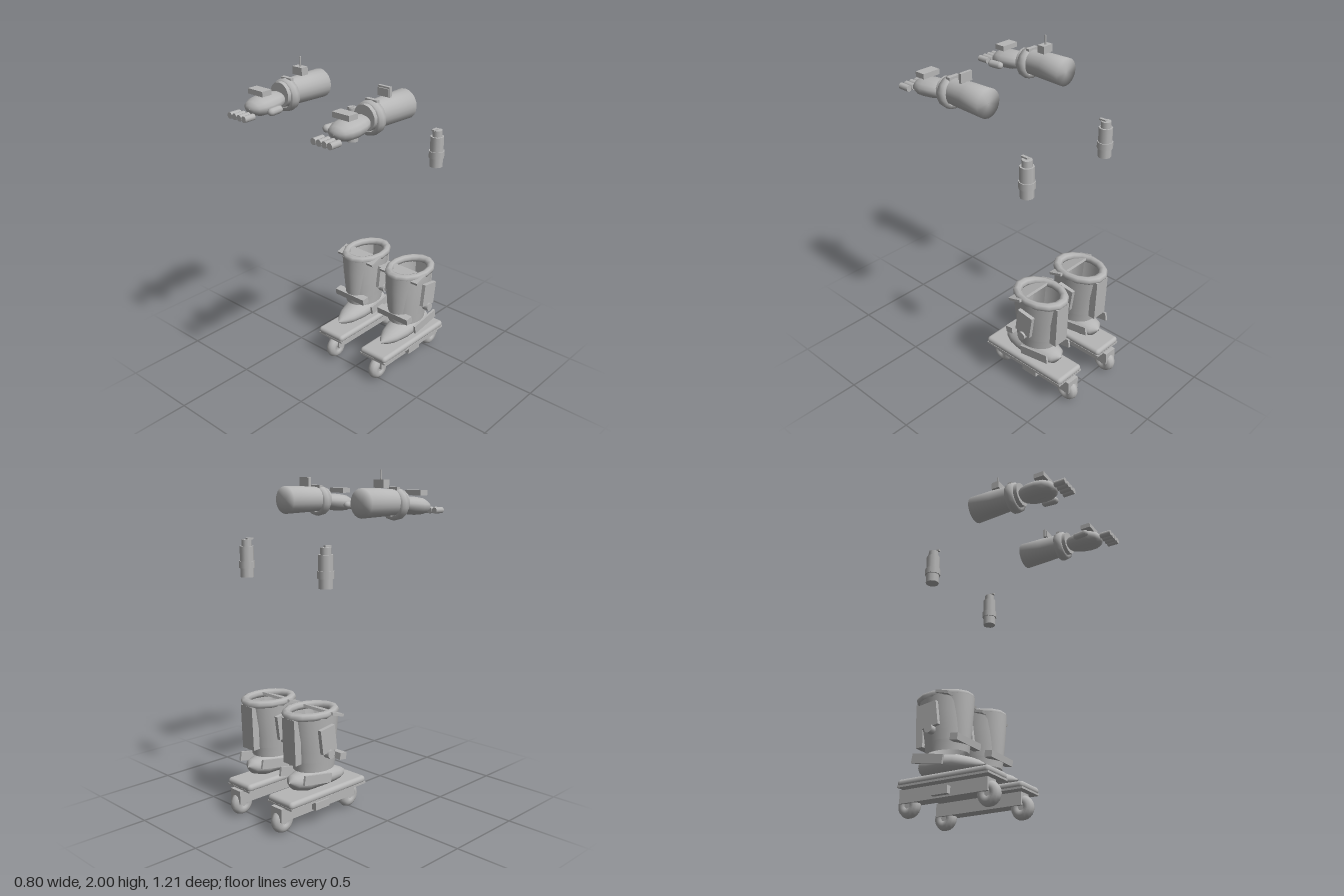
import * as THREE from 'three';
import { RoundedBoxGeometry } from 'three/addons/geometries/RoundedBoxGeometry.js';

const grey = new THREE.MeshStandardMaterial({ color: 0xb6b6b6, side: THREE.DoubleSide });
grey.name = 'plain grey';

function add(group, name, geometry, x = 0, y = 0, z = 0, rx = 0, ry = 0) {
  const mesh = new THREE.Mesh(geometry, grey);
  mesh.name = name;
  mesh.position.set(x, y, z);
  mesh.rotation.set(rx, ry, 0);
  group.add(mesh);
  return mesh;
}
const box = (w, h, d) => new THREE.BoxGeometry(w, h, d);

// Skin over elliptical sections [y, centre z, radius x, radius z], listed upwards
function loft(sections, segs = 20, start = 0, length = Math.PI * 2) {
  const closed = length > 6.28;
  const cols = closed ? segs : segs + 1;
  const pos = [], index = [];
  for (const [y, cz, rx, rz] of sections) {
    for (let i = 0; i < cols; i++) {
      const t = start + (length * i) / segs;
      pos.push(rx * Math.sin(t), y, cz + rz * Math.cos(t));
    }
  }
  for (let j = 0; j < sections.length - 1; j++) {
    for (let i = 0; i < segs; i++) {
      const n = (i + 1) % cols;
      const a = (j + 1) * cols + i, b = j * cols + i, c = j * cols + n, d = (j + 1) * cols + n;
      index.push(a, b, d, b, c, d);
    }
  }
  const g = new THREE.BufferGeometry();
  g.setAttribute('position', new THREE.Float32BufferAttribute(pos, 3));
  g.setIndex(index);
  g.computeVertexNormals();
  return g;
}
// The same, with sections [z, centre y, radius x, radius y] along z
const loftZ = (sections, segs) =>
  loft(sections.map(([z, cy, rx, ry]) => [z, -cy, rx, ry]), segs).rotateX(Math.PI / 2);

function makeSkate(s) {
  const g = new THREE.Group();
  g.name = s > 0 ? 'leftSkate' : 'rightSkate';
  g.position.x = 0.18 * s;

  // Deck, chassis and wheels
  add(g, 'deck', new RoundedBoxGeometry(0.204, 0.044, 0.606, 3, 0.021), 0, 0.183, -0.252);
  add(g, 'deckBase', box(0.2, 0.012, 0.6), 0, 0.163, -0.252);
  add(g, 'chassis', box(0.086, 0.08, 0.585), 0, 0.12, -0.284);
  add(g, 'sideBlock', box(0.075, 0.045, 0.11), 0.036 * s, 0.113, -0.285);
  for (const z of [-0.005, -0.533]) {
    const wheel = new THREE.TorusGeometry(0.038, 0.034, 10, 20).rotateY(Math.PI / 2);
    add(g, 'wheel', wheel, 0, 0.072, z);
    add(g, 'hub', new THREE.CylinderGeometry(0.02, 0.02, 0.05, 12).rotateZ(Math.PI / 2), 0, 0.072, z);
  }

  // Pointed shoe with a fin on each side
  add(g, 'shoe', loftZ([
    [-0.475, 0.275, 0.005, 0.005], [-0.445, 0.27, 0.055, 0.042], [-0.375, 0.267, 0.083, 0.061],
    [-0.28, 0.268, 0.088, 0.062], [-0.2, 0.262, 0.086, 0.056], [-0.12, 0.25, 0.064, 0.042],
    [-0.07, 0.243, 0.036, 0.026], [-0.035, 0.24, 0.004, 0.004],
  ], 18));
  for (const k of [-1, 1]) add(g, 'shoeFin', box(0.014, 0.055, 0.21), 0.1 * k, 0.293, -0.35, 0.17);

  // Open shaft, ankle band and raised front shell
  add(g, 'shaft', loft([
    [0.33, -0.285, 0.104, 0.128], [0.45, -0.29, 0.117, 0.142],
    [0.56, -0.298, 0.128, 0.156], [0.67, -0.306, 0.134, 0.166],
  ], 24));
  add(g, 'ankleBand', loft([[0.33, -0.285, 0.107, 0.13], [0.39, -0.287, 0.113, 0.138]], 24));
  add(g, 'frontShell', loft([
    [0.36, -0.25, 0.078, 0.105], [0.45, -0.25, 0.09, 0.113],
    [0.56, -0.25, 0.103, 0.119], [0.66, -0.25, 0.114, 0.122],
  ], 16, -Math.PI / 2, Math.PI));

  // Padded rim, straps and back panel
  const rim = new THREE.TorusGeometry(0.136, 0.026, 8, 14).rotateX(Math.PI / 2).scale(0.86, 0.92, 1.13);
  add(g, 'rim', rim, 0, 0.664, -0.31);
  add(g, 'upperStrap', box(0.297, 0.016, 0.09), 0, 0.657, -0.235, 0.28);
  add(g, 'ankleStrap', box(0.24, 0.04, 0.05), 0, 0.388, -0.165, 0.12);
  add(g, 'backPanel', box(0.1, 0.265, 0.045), 0, 0.52, -0.455, -0.04);

  // Buckle plate and knob on each side
  for (const k of [-1, 1]) {
    add(g, 'bucklePlate', box(0.024, 0.145, 0.11), 0.143 * k, 0.53, -0.315, -0.14);
    add(g, 'buckleKnob', new THREE.CylinderGeometry(0.026, 0.026, 0.04, 12).rotateZ(Math.PI / 2),
      0.148 * k, 0.445, -0.307);
  }
  return g;
}

function makeCanister(s) {
  const g = new THREE.Group();
  g.name = s > 0 ? 'leftCanister' : 'rightCanister';
  g.position.set(0.328 * s, 0, -0.334);
  const stack = [ // name, bottom, top, radius
    ['canisterBase', 1.38, 1.44, 0.04], ['canisterRing', 1.435, 1.475, 0.047],
    ['canisterBody', 1.47, 1.562, 0.041], ['canisterNeck', 1.56, 1.6, 0.03],
  ];
  for (const [name, y0, y1, r] of stack) {
    add(g, name, new THREE.CylinderGeometry(r, r, y1 - y0, 10), 0, (y0 + y1) / 2, 0);
  }
  add(g, 'canisterLever', box(0.018, 0.01, 0.045), 0.005 * -s, 1.604, 0.018);
  return g;
}

function makeArm(s) {
  const g = new THREE.Group();
  g.name = s > 0 ? 'leftArm' : 'rightArm';
  g.position.x = 0.312 * s;

  // Tapered forearm and wrist cuff
  add(g, 'forearm', loftZ([
    [-0.043, 1.818, 0.001, 0.001], [-0.043, 1.818, 0.083, 0.083],
    [0.1, 1.818, 0.077, 0.08], [0.28, 1.815, 0.066, 0.072],
  ], 20));
  add(g, 'wristCuff', loftZ([
    [0.208, 1.806, 0.07, 0.07], [0.212, 1.806, 0.088, 0.09], [0.236, 1.806, 0.092, 0.094],
    [0.262, 1.806, 0.088, 0.09], [0.264, 1.806, 0.07, 0.07],
  ], 14));
  add(g, 'cuffLip', new THREE.CylinderGeometry(0.072, 0.072, 0.03, 14).rotateX(Math.PI / 2), 0, 1.815, 0.272);
  add(g, 'cuffTab', box(0.076, 0.02, 0.025), 0, 1.893, 0.222);

  // Hand with back plate, thumb and four fingertips
  add(g, 'hand', loftZ([
    [0.285, 1.8, 0.045, 0.03], [0.305, 1.798, 0.062, 0.043], [0.35, 1.795, 0.08, 0.052],
    [0.41, 1.79, 0.087, 0.053], [0.455, 1.787, 0.08, 0.05], [0.49, 1.784, 0.062, 0.038],
    [0.508, 1.782, 0.036, 0.022], [0.512, 1.782, 0.002, 0.002],
  ], 14));
  add(g, 'handPlate', box(0.115, 0.03, 0.066), 0, 1.866, 0.43);
  add(g, 'thumb', new THREE.CapsuleGeometry(0.022, 0.06, 4, 10).rotateX(Math.PI / 2),
    -0.105 * s, 1.777, 0.418, 0, -0.1 * s);
  for (let i = 0; i < 4; i++) {
    add(g, 'fingertip', new THREE.CylinderGeometry(0.0185, 0.0185, 0.07, 10).rotateX(Math.PI / 2),
      (i - 1.5) * 0.037, 1.76, 0.567);
  }

  // Forearm device: an aerial box on the right, an upright panel on the left
  if (s < 0) {
    add(g, 'aerialBox', box(0.074, 0.045, 0.048), 0, 1.922, 0.12);
    add(g, 'aerial', new THREE.CylinderGeometry(0.005, 0.005, 0.06, 8), 0, 1.97, 0.117);
  } else {
    add(g, 'panel', box(0.08, 0.055, 0.018), 0, 1.923, 0.124);
    add(g, 'panelFace', box(0.068, 0.042, 0.008), 0, 1.92, 0.136);
  }
  return g;
}

export function createModel() {
  const model = new THREE.Group();
  model.name = 'skatesAndGloves';
  for (const s of [-1, 1]) model.add(makeSkate(s), makeCanister(s), makeArm(s));
  return model;
}
